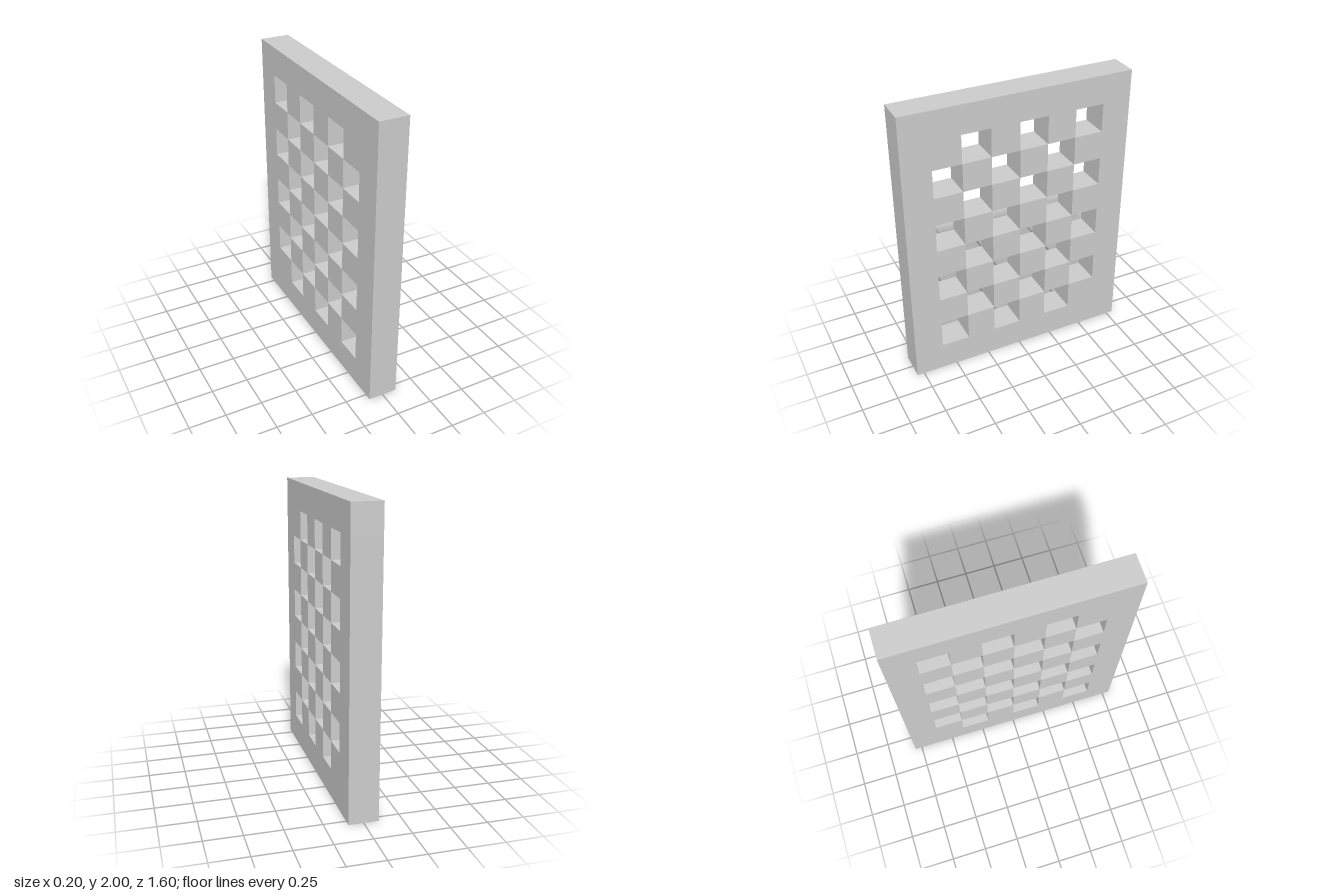
import * as THREE from 'three';
import { mergeGeometries } from 'three/addons/utils/BufferGeometryUtils.js';

const CELL = 0.2, ROWS = 10, COLS = 8;

// Solid border one cell wide, with a checkerboard of square through-holes inside
function isSolid(layer, row, col) {
  if (layer !== 0 || row < 0 || row >= ROWS || col < 0 || col >= COLS) return false;
  const border = row === 0 || row === ROWS - 1 || col === 0 || col === COLS - 1;
  return border || (row + col) % 2 === 0;
}

const DIRECTIONS = [
  [1, 0, 0], [-1, 0, 0], [0, 1, 0], [0, -1, 0], [0, 0, 1], [0, 0, -1],
].map((d) => new THREE.Vector3(...d));

// One square face of a cell, pointing along dir
function cellFace(centre, dir) {
  const face = new THREE.PlaneGeometry(CELL, CELL);
  face.applyQuaternion(new THREE.Quaternion().setFromUnitVectors(new THREE.Vector3(0, 0, 1), dir));
  const p = centre.clone().addScaledVector(dir, CELL / 2);
  return face.translate(p.x, p.y, p.z);
}

export function createModel() {
  const group = new THREE.Group();
  group.name = 'latticePanel';

  // Only faces next to open space are built, so the panel is one clean shell
  const faces = [];
  for (let row = 0; row < ROWS; row++) {
    for (let col = 0; col < COLS; col++) {
      if (!isSolid(0, row, col)) continue;
      const centre = new THREE.Vector3(0, (row + 0.5) * CELL, (col + 0.5 - COLS / 2) * CELL);
      for (const d of DIRECTIONS) {
        if (!isSolid(d.x, row + d.y, col + d.z)) faces.push(cellFace(centre, d));
      }
    }
  }

  const panel = new THREE.Mesh(
    mergeGeometries(faces),
    new THREE.MeshStandardMaterial({ color: 0xcccccc }),
  );
  panel.name = 'perforatedPanel';
  group.add(panel);
  return group;
}
